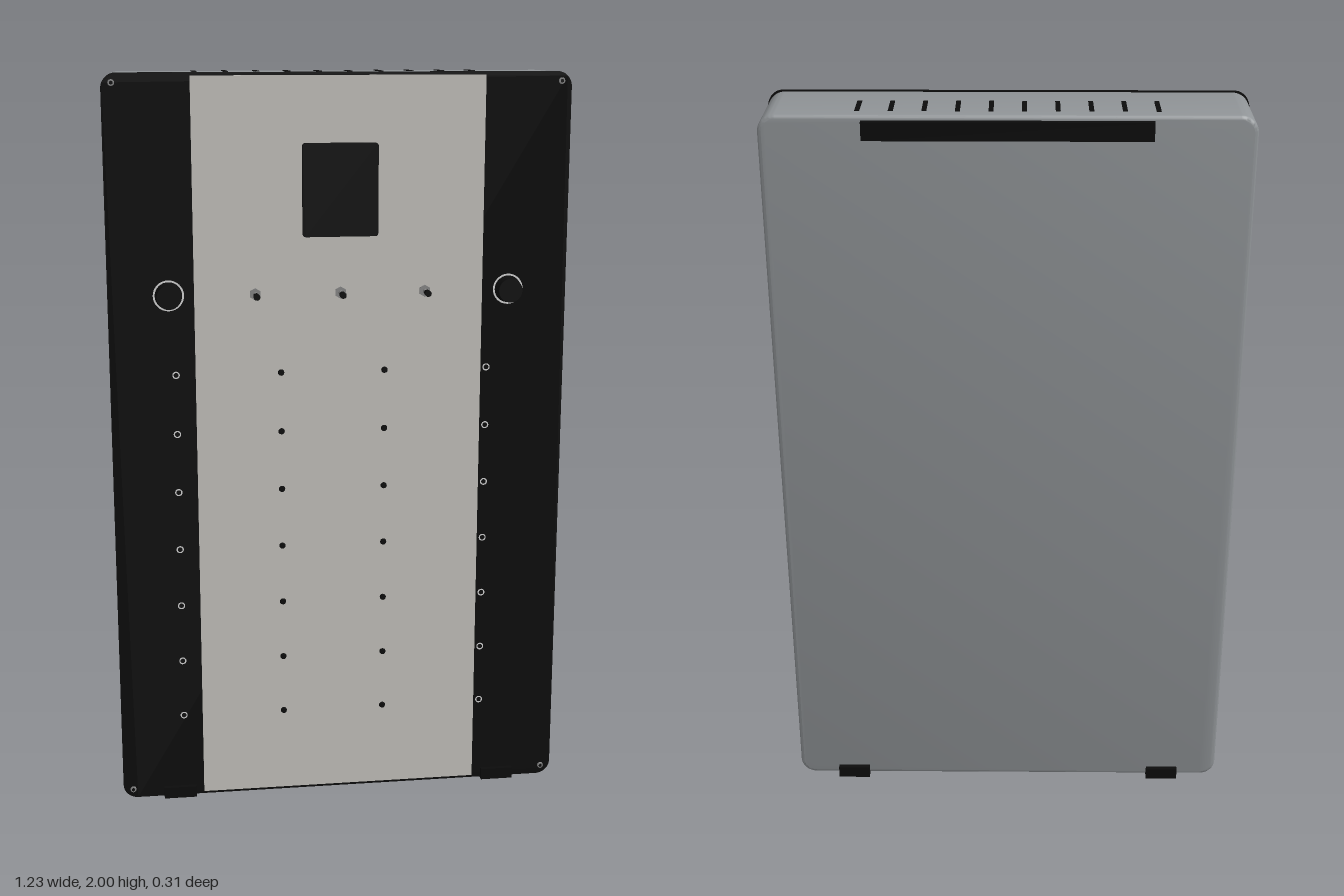
import * as THREE from 'three';
import { toCreasedNormals } from 'three/addons/utils/BufferGeometryUtils.js';

const material = (name, color) => {
  const m = new THREE.MeshStandardMaterial({ color });
  m.name = name;
  return m;
};

// Rounded rectangle outline
function roundedRect(x0, y0, x1, y1, r) {
  const s = new THREE.Shape();
  s.absarc(x1 - r, y1 - r, r, 0, Math.PI / 2);
  s.absarc(x0 + r, y1 - r, r, Math.PI / 2, Math.PI);
  s.absarc(x0 + r, y0 + r, r, Math.PI, Math.PI * 1.5);
  s.absarc(x1 - r, y0 + r, r, Math.PI * 1.5, Math.PI * 2);
  s.closePath();
  return s;
}

// Rounded slab between z0 and z1, with an optional edge fillet
function slab(x0, y0, x1, y1, r, z0, z1, b = 0) {
  const g = new THREE.ExtrudeGeometry(roundedRect(x0 + b, y0 + b, x1 - b, y1 - b, r), {
    depth: z1 - z0 - 2 * b, curveSegments: 6,
    bevelEnabled: b > 0, bevelSize: b, bevelThickness: b, bevelSegments: 3,
  });
  g.translate(0, 0, z0 + b);
  return toCreasedNormals(g, 0.6);
}

export function createModel() {
  const model = new THREE.Group();
  model.name = 'wallCabinet';
  const grey = material('case grey', 0x909497);
  const black = material('black', 0x0c0c0c);
  const cream = material('panel cream', 0xc9c7c1);
  const white = material('marking white', 0xdadada);
  const metal = material('metal', 0x8a8a8a);

  const add = (name, geometry, mat, x = 0, y = 0, z = 0, parent = model) => {
    const mesh = new THREE.Mesh(geometry, mat);
    mesh.name = name;
    mesh.position.set(x, y, z);
    parent.add(mesh);
    return mesh;
  };
  const box = (name, w, h, d, mat, x, y, z) => add(name, new THREE.BoxGeometry(w, h, d), mat, x, y, z);
  // Disc or rod pointing forward, starting at z
  const rod = (name, r0, r1, len, mat, x, y, z, parent = model, n = 24) => {
    const g = new THREE.CylinderGeometry(r1, r0, len, n).rotateX(Math.PI / 2).translate(0, 0, len / 2);
    return add(name, g, mat, x, y, z, parent);
  };

  // Case, front plate and centre panel
  add('case', slab(-0.613, 0.006, 0.613, 1.998, 0.035, -0.138, 0.09, 0.01), grey);
  add('frontPlate', slab(-0.614, 0.005, 0.614, 2, 0.04, 0.08, 0.092), black);
  box('centrePanel', 0.772, 1.98, 0.004, cream, -0.002, 1.002, 0.0925);

  // Display window
  add('display', slab(-0.101, 1.577, 0.099, 1.82, 0.008, 0.09, 0.106), black);

  // Vent slots on the top
  for (let i = 0; i < 10; i++) {
    box('ventSlot', 0.012, 0.004, 0.09, black, -0.37 + i * 0.0822, 1.998, -0.056);
  }

  // Rear hanging rail
  box('hangingRail', 0.716, 0.047, 0.022, black, 0, 1.962, -0.144);

  // Knobs with dial rings, and feet wrapping the lower edges
  const ring = (r, t) => new THREE.RingGeometry(r - t, r, 32);
  for (const s of [-1, 1]) {
    const x = s * 0.455;
    add('dialRing', ring(0.041, 0.005), white, x, 1.428, 0.0935);
    rod('knob', 0.036, 0.032, 0.036, black, x, 1.428, 0.092);
    box('frontFoot', 0.09, 0.032, 0.014, black, x, 0.017, 0.097);
    box('frontFootPad', 0.09, 0.008, 0.06, black, x, 0.004, 0.07);
    box('backFoot', 0.09, 0.034, 0.018, black, x, 0.017, -0.143);
    box('backFootPad', 0.09, 0.008, 0.06, black, x, 0.004, -0.112);
  }

  // Toggle switches
  for (const x of [-0.227, 0, 0.227]) {
    const toggle = new THREE.Group();
    toggle.name = 'toggleSwitch';
    toggle.position.set(x, 1.428, 0.094);
    model.add(toggle);
    rod('switchNut', 0.016, 0.016, 0.007, metal, 0, 0, 0, toggle, 6);
    rod('switchStem', 0.006, 0.006, 0.036, metal, 0, 0, 0.005, toggle, 12);
    rod('switchCap', 0.008, 0.009, 0.021, black, 0, 0, 0.035, toggle, 12);
  }

  // Seven rows of indicator lamps and socket rings
  for (let i = 0; i < 7; i++) {
    const y = 1.215 - i * 0.1615;
    for (const x of [-0.16, 0.12]) {
      rod('indicatorLamp', 0.009, 0.007, 0.007, black, x, y, 0.094, model, 12);
    }
    for (const x of [-0.44, 0.4]) add('socketRing', ring(0.01, 0.0035), white, x, y, 0.0935);
  }

  // Corner screws
  for (const x of [-0.587, 0.587]) {
    for (const y of [0.03, 1.975]) {
      rod('screwHead', 0.009, 0.008, 0.005, metal, x, y, 0.091, model, 12);
      rod('screwSocket', 0.005, 0.005, 0.001, black, x, y, 0.0957, model, 6);
    }
  }
  return model;
}
